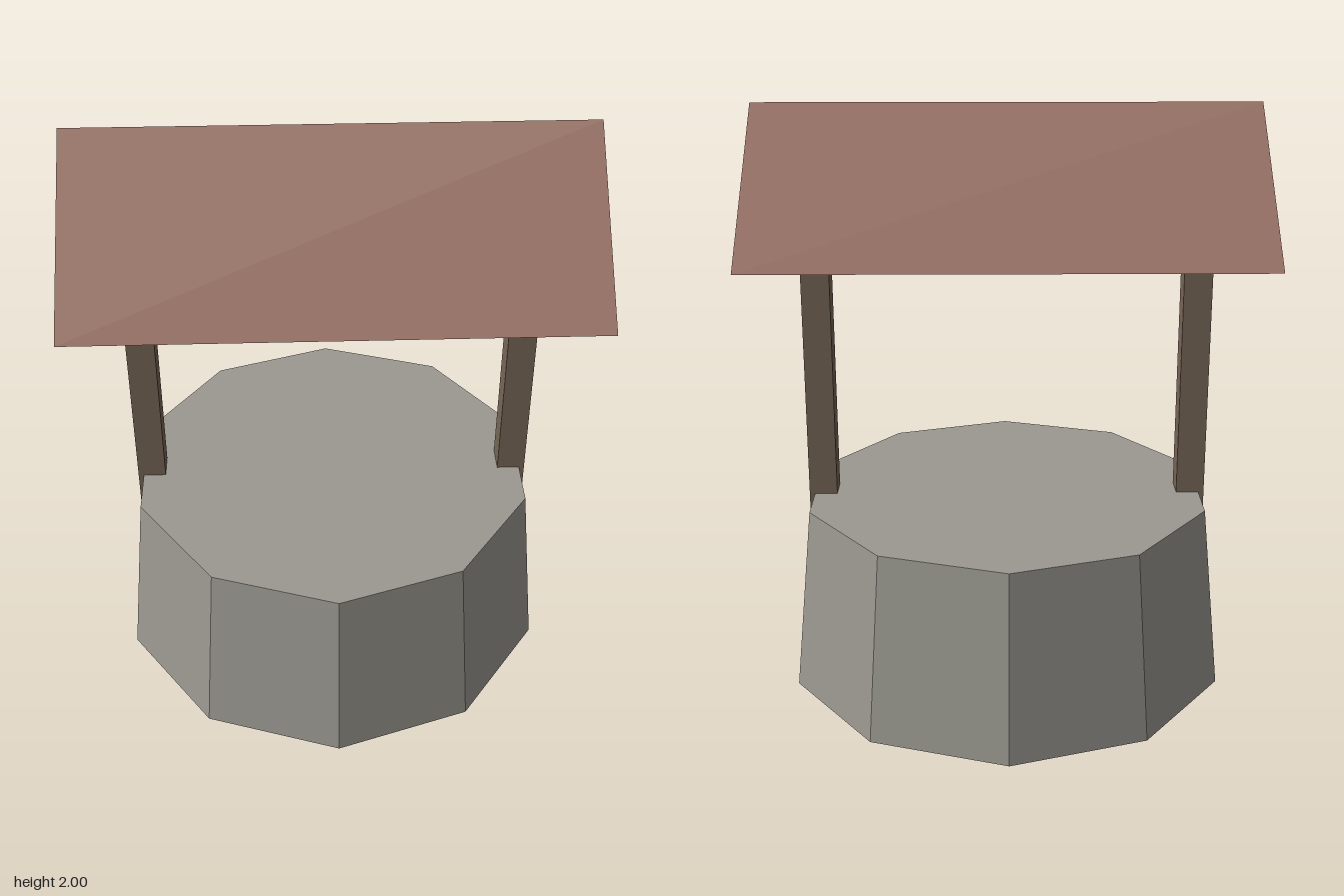
import * as THREE from 'three';

const U = 2 / 3.1; // one design unit; the well wall is one unit tall

export function createModel() {
  const stone = new THREE.MeshStandardMaterial({ color: 0x9a9890, flatShading: true });
  stone.name = 'stone';
  const wood = new THREE.MeshStandardMaterial({ color: 0x776656, flatShading: true });
  wood.name = 'wood';
  const tile = new THREE.MeshStandardMaterial({ color: 0x966e62, flatShading: true });
  tile.name = 'roofTile';

  const group = new THREE.Group();
  group.name = 'well';
  const add = (name, geometry, material, x, y, z) => {
    const mesh = new THREE.Mesh(geometry, material);
    mesh.name = name;
    mesh.position.set(x, y, z);
    group.add(mesh);
  };

  // Ten-sided tapered wall, raised a hair so the post feet show underneath
  const lift = 0.001;
  add('wellWall', new THREE.CylinderGeometry(1.1 * U, 1.2 * U, U - lift, 10), stone, 0, (U + lift) / 2, 0);

  // Posts run from the ground to the underside of the roof
  for (const side of [-1, 1]) {
    add(side > 0 ? 'leftPost' : 'rightPost',
      new THREE.BoxGeometry(0.15 * U, 2.4 * U, 0.15 * U), wood, side * U, 1.2 * U, 0);
  }

  // Solid gable roof with its ridge along x
  const gable = new THREE.Shape([
    new THREE.Vector2(-0.8 * U, 0),
    new THREE.Vector2(0.8 * U, 0),
    new THREE.Vector2(0, 0.7 * U),
  ]);
  const roof = new THREE.ExtrudeGeometry(gable, { depth: 2.6 * U, bevelEnabled: false });
  roof.translate(0, 0, -1.3 * U).rotateY(Math.PI / 2);
  add('roof', roof, tile, 0, 2.4 * U, 0);

  return group;
}
